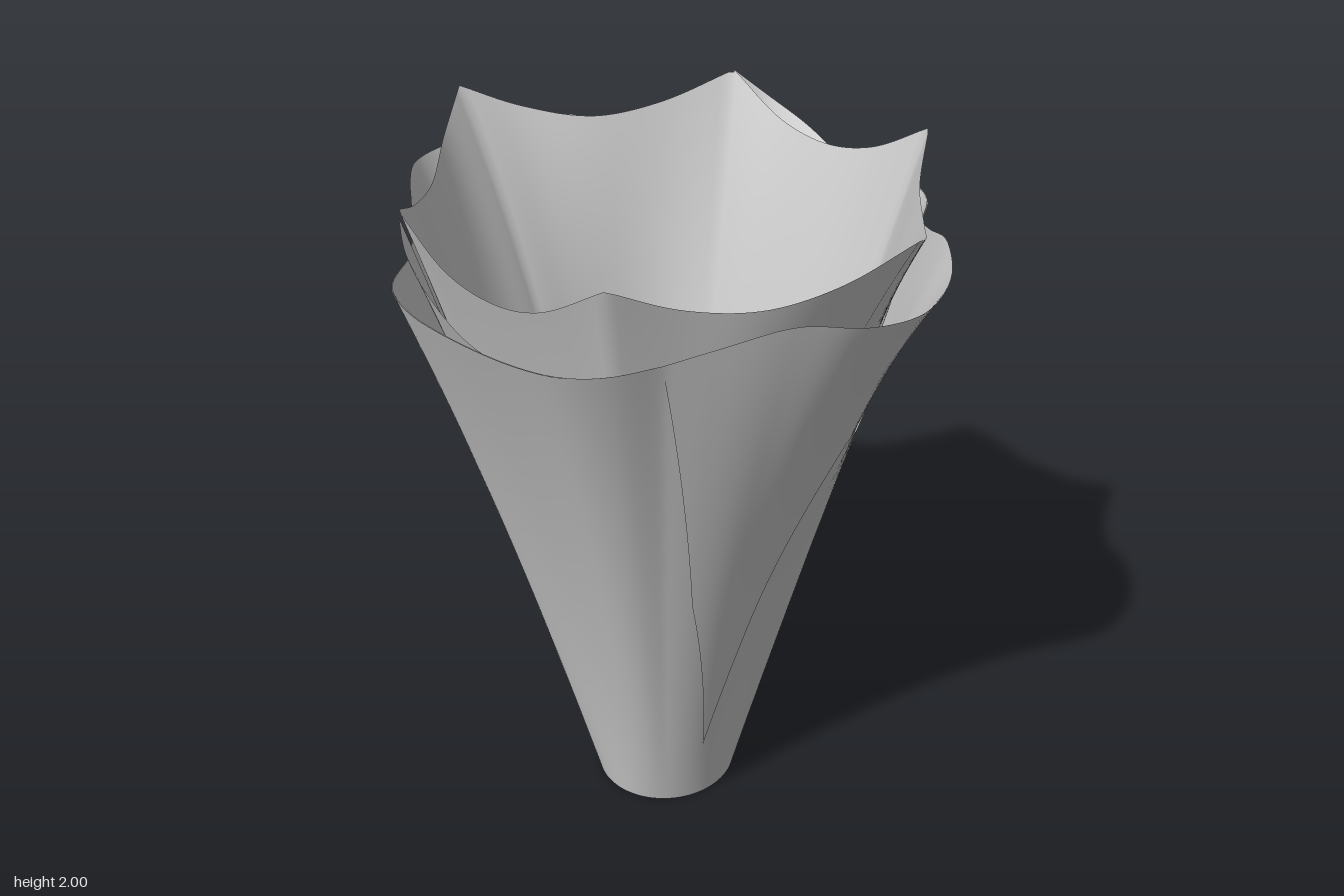
import * as THREE from 'three';

const DEG = Math.PI / 180;
const TAU = Math.PI * 2;
const material = new THREE.MeshStandardMaterial({ color: 0xcccccc, side: THREE.DoubleSide });

// piecewise linear lookup in [[key, value], ...]
function lookup(table, k) {
  if (k <= table[0][0]) return table[0][1];
  for (let i = 1; i < table.length; i++) {
    const [a, va] = table[i - 1], [b, vb] = table[i];
    if (k <= b) return va + (vb - va) * (k - a) / (b - a);
  }
  return table[table.length - 1][1];
}

// angle 0 faces the front, 90 degrees is +x
const wrapAngle = (a) => ((a % TAU) + TAU) % TAU;

// smooth lobes with sharp corners between them become radius and height by angle
function makeRim(lobes) {
  const pts = [];
  for (const lobe of lobes) {
    const curve = new THREE.CatmullRomCurve3(lobe.map((p) => new THREE.Vector3(...p)));
    for (let i = 0; i < 32; i++) pts.push(curve.getPoint(i / 32));
  }
  const rows = pts.map((p) => [wrapAngle(Math.atan2(p.x, p.z)), Math.hypot(p.x, p.z), p.y]);
  rows.sort((a, b) => a[0] - b[0]);
  const first = rows[0], last = rows[rows.length - 1];
  rows.unshift([last[0] - TAU, last[1], last[2]]);
  rows.push([first[0] + TAU, first[1], first[2]]);
  const radius = rows.map((r) => [r[0], r[1]]);
  const height = rows.map((r) => [r[0], r[2]]);
  return (a) => [lookup(radius, wrapAngle(a)), lookup(height, wrapAngle(a))];
}

// flaring wall from a round base up to a rim; the corners between lobes rise straight,
// so the wall stays round until the lobes spread near the top
function makeWall(rim, baseRadius, offset = 0) {
  return (angle, t) => {
    const [r, h] = rim(angle);
    const s = Math.sin(angle) ** 2;
    const d = Math.sin(2 * angle) ** 2;
    const lobeFlare = (0.57 * t + 0.43 * t ** 3) * (1 - s) + (0.6 * t + 0.4 * t * t) * s;
    const flare = lobeFlare + (t - lobeFlare) * d;
    const base = baseRadius + 0.01 * s;
    const rr = base + (r - base) * flare + offset * (1 - 0.7 * t);
    return [rr * Math.sin(angle), h * t, rr * Math.cos(angle)];
  };
}

// grid surface between two edges whose angle may change with height
function sheet(name, wall, start, end, cols, t0 = 0, t1 = 1) {
  const rows = 50, pos = [], idx = [];
  for (let j = 0; j <= rows; j++) {
    const t = t0 + (t1 - t0) * j / rows;
    const a0 = start(t), a1 = end(t);
    for (let i = 0; i <= cols; i++) {
      pos.push(...wall(a0 + (a1 - a0) * i / cols, t));
      if (i < cols && j < rows) {
        const a = j * (cols + 1) + i, c = a + cols + 1;
        idx.push(a, a + 1, c + 1, a, c + 1, c);
      }
    }
  }
  const g = new THREE.BufferGeometry();
  g.setAttribute('position', new THREE.Float32BufferAttribute(pos, 3));
  g.setIndex(idx);
  g.computeVertexNormals();
  const mesh = new THREE.Mesh(g, material);
  mesh.name = name;
  return mesh;
}

const mirrorX = (lobe) => lobe.map(([x, y, z]) => [-x, y, z]).reverse();
const edge = (...table) => (t) => lookup(table, t) * DEG;

export function createModel() {
  const group = new THREE.Group();
  group.name = 'paperWrap';

  // outer rim: front and back lobes plus two flat side lobes
  const side = [[0.52, 1.77, 0.44], [0.64, 1.77, 0.38], [0.71, 1.77, 0.3], [0.743, 1.77, 0.17],
    [0.74, 1.77, -0.08], [0.715, 1.77, -0.21], [0.655, 1.77, -0.33], [0.505, 1.77, -0.425]];
  const back = [[0.505, 1.77, -0.425], [0.42, 1.81, -0.51], [0.3, 1.86, -0.645], [0.17, 1.84, -0.755],
    [0, 1.825, -0.8]];
  const front = [[0, 1.825, 0.8], [0.17, 1.84, 0.76], [0.3, 1.86, 0.66], [0.42, 1.81, 0.535],
    [0.52, 1.77, 0.44]];
  // a lobe that crosses the middle joins its half and the mirrored half
  const backLobe = [...back, ...mirrorX(back).slice(1)];
  const frontLobe = [...mirrorX(front), ...front.slice(1)];
  const outerRim = makeRim([side, backLobe, mirrorX(side), frontLobe]);
  const full = [() => 0, () => TAU];
  group.add(sheet('outerPaper', makeWall(outerRim, 0.197), ...full, 180));

  // hexagonal lining with six raised points
  const liningSide = [[0.635, 1.98, 0.37], [0.65, 1.87, 0.18], [0.65, 1.84, 0.03], [0.65, 1.87, -0.13], [0.64, 1.98, -0.3]];
  const liningBack = [[0.64, 1.98, -0.3], [0.47, 1.9, -0.43], [0.31, 1.875, -0.545], [0.15, 1.92, -0.67], [0, 2, -0.76]];
  const liningFront = [[0, 2, 0.77], [0.17, 1.92, 0.68], [0.32, 1.88, 0.575], [0.47, 1.9, 0.46], [0.635, 1.98, 0.37]];
  const half = [liningFront, liningSide, liningBack];
  const liningRim = makeRim([...half, ...half.map(mirrorX).reverse()]);
  group.add(sheet('lining', makeWall(liningRim, 0.18), ...full, 192));

  // middle layer: a side petal that curls out from each rear corner
  const petal = [[0.64, 1.98, -0.3], [0.695, 1.91, -0.22], [0.73, 1.84, -0.1], [0.735, 1.77, 0.03], [0.71, 1.72, 0.22]];
  const petalWall = makeWall(makeRim([petal, mirrorX(petal)]), 0.19);
  const a0 = Math.atan2(0.71, 0.22), a1 = Math.atan2(0.64, -0.3);
  group.add(sheet('leftPetal', petalWall, () => a0, () => a1, 32, 0.5));
  group.add(sheet('rightPetal', petalWall, () => -a1, () => -a0, 32, 0.5));

  // overlapping side wraps leaving a V at the front and at the back
  const wrapWall = makeWall(outerRim, 0.197, 0.008);
  group.add(sheet('leftWrap', wrapWall, edge([0.72, 30], [1, 49.8]), edge([0.14, 215], [1, 130.2]), 90));
  group.add(sheet('frontFlap', wrapWall, edge([0.14, -25], [0.72, 10]), () => 30 * DEG, 30, 0, 0.72));
  group.add(sheet('rightWrap', wrapWall, edge([0.14, -145], [1, -130.2]),
    edge([0.14, -25], [0.5, -40], [1, -49.8]), 60));

  // closed base and inner floor
  for (const [name, r, y, turn] of [['base', 0.203, 0, 1], ['floor', 0.182, 0.012, -1]]) {
    const disc = new THREE.Mesh(new THREE.CircleGeometry(r, 64), material);
    disc.name = name;
    disc.rotation.x = turn * Math.PI / 2;
    disc.position.y = y;
    disc.scale.x = 1.04;
    group.add(disc);
  }
  return group;
}
